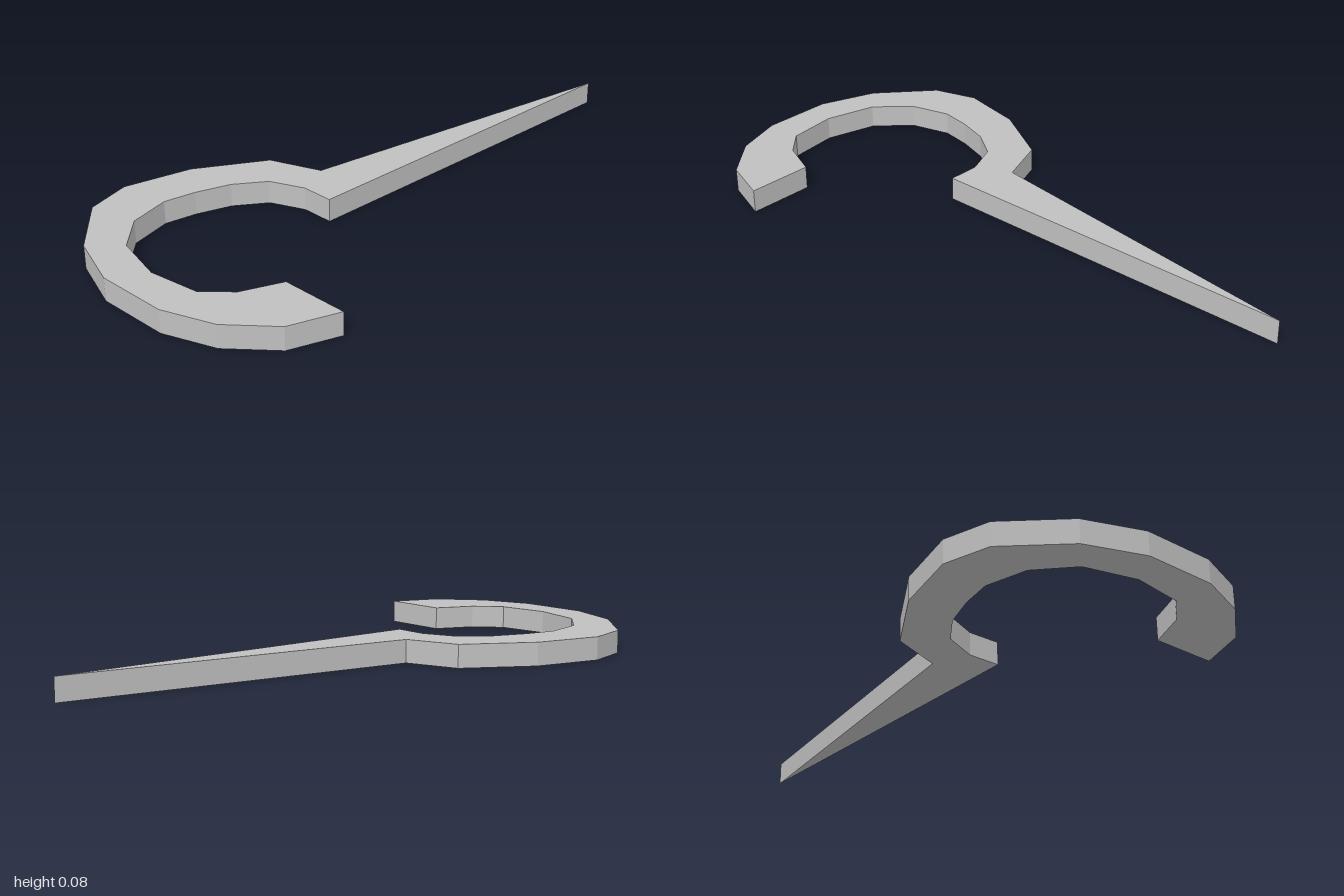
import * as THREE from 'three';

const THICKNESS = 0.075;

export function createModel() {
  const group = new THREE.Group();
  group.name = 'hookWithSpike';
  const grey = new THREE.MeshStandardMaterial({ color: 0xc0c0c0 });
  grey.name = 'grey';

  // Plan outline as [x, z]: outer rim of the hook from the spike root to the open end
  const outer = [
    [-0.135, -0.146], [-0.197, -0.315], [-0.413, -0.446], [-0.632, -0.498], [-0.78, -0.458],
    [-0.934, -0.286], [-1, -0.1], [-0.996, 0.137], [-0.936, 0.303], [-0.82, 0.437], [-0.662, 0.495],
  ];
  // Inner rim, back from the open end to the spike root
  const inner = [
    [-0.665, 0.273], [-0.792, 0.219], [-0.868, 0.138], [-0.891, -0.03], [-0.848, -0.2], [-0.744, -0.3],
    [-0.608, -0.333], [-0.504, -0.313], [-0.394, -0.275], [-0.298, -0.206], [-0.252, -0.095], [-0.252, 0.013],
  ];
  // Long spike tapering to a point
  const tip = [[1, 0.036]];

  const outline = [...outer, ...inner, ...tip].map(([x, z]) => new THREE.Vector2(x, -z));
  const geometry = new THREE.ExtrudeGeometry(new THREE.Shape(outline), { depth: THICKNESS, bevelEnabled: false });
  geometry.rotateX(-Math.PI / 2); // lay the plate flat on y = 0

  const plate = new THREE.Mesh(geometry, grey);
  plate.name = 'hookAndSpike';
  group.add(plate);
  return group;
}
